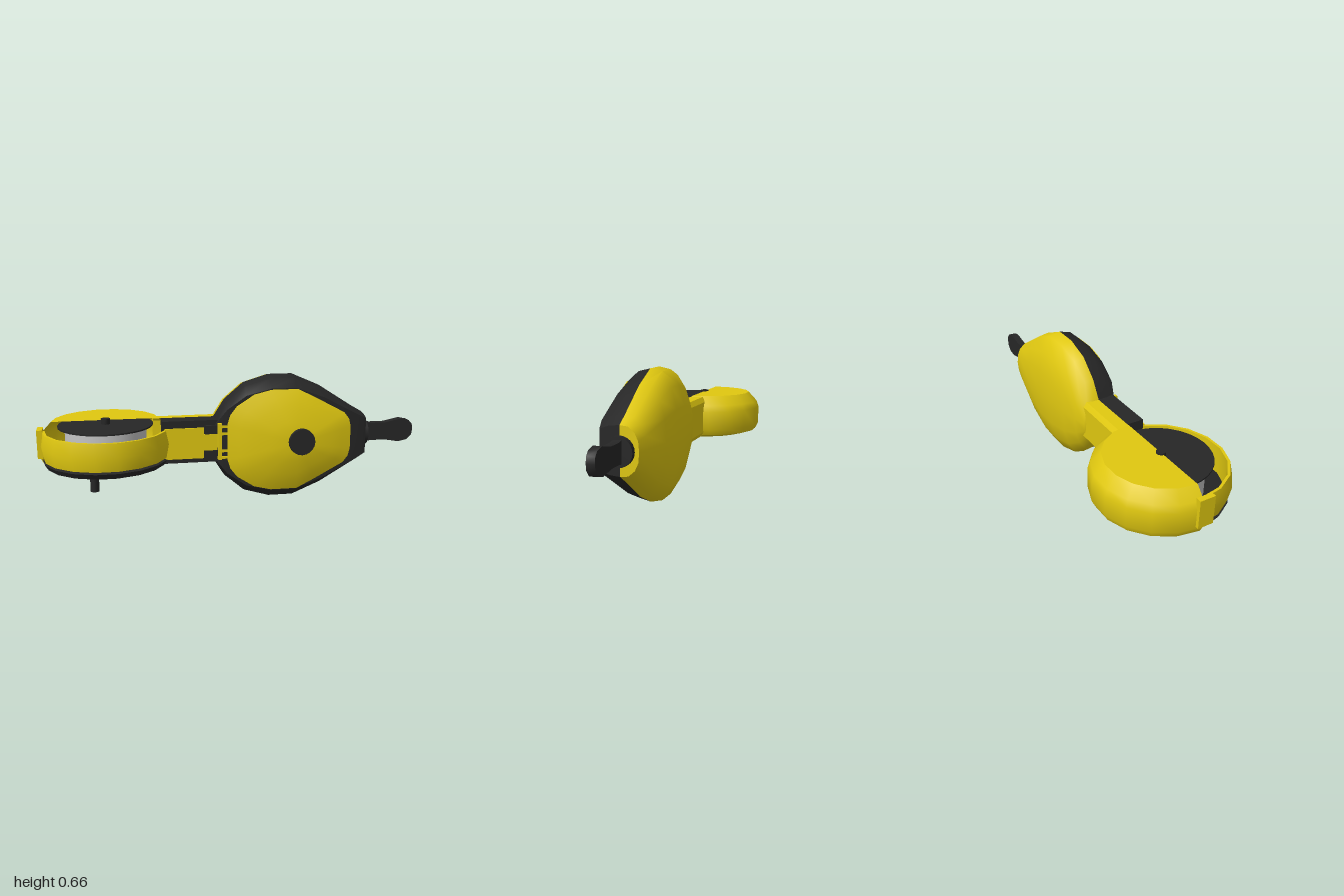
import * as THREE from 'three';
import { toCreasedNormals } from 'three/addons/utils/BufferGeometryUtils.js';

const mat = (name, color) => new THREE.MeshStandardMaterial({ name, color, side: THREE.DoubleSide });
const yellow = mat('yellow plastic', 0xe0c810);
const black = mat('black plastic', 0x262626);
const silver = mat('silver metal', 0xc4c4c4);

const MID = 0.33;      // height of the long axis
const HEAD_X = -0.66;  // centre of the round head

// Skin a list of equal-length rings of [x, y, z] points
function loft(rings, closed, crease) {
  const n = rings[0].length, index = [];
  for (let i = 0; i < rings.length - 1; i++) {
    for (let j = 0; j < (closed ? n : n - 1); j++) {
      const a = i * n + j, b = i * n + (j + 1) % n;
      index.push(a, b, a + n, b, b + n, a + n);
    }
  }
  const geo = new THREE.BufferGeometry();
  geo.setAttribute('position', new THREE.Float32BufferAttribute(rings.flat(2), 3));
  geo.setIndex(index);
  return toCreasedNormals(geo, crease);
}

// Half of a long shell: stations are [x, half height, depth], profile is [height, depth] fractions
function halfShell(stations, profile, side, crease) {
  const lower = profile.slice(0, -1).reverse().map(([h, d]) => [-h, d]);
  const section = [...profile, ...lower];
  const first = stations[0], last = stations[stations.length - 1];
  const all = [[first[0], 0, 0], ...stations, [last[0], 0, 0]];
  return loft(all.map(([x, h, d]) => section.map(([fh, fd]) => [x, MID + h * fh, side * d * fd])), false, crease);
}

export function createModel() {
  const model = new THREE.Group();
  model.name = 'tapeTool';
  const add = (name, geo, material, x = 0, y = 0, z = 0) => {
    const mesh = new THREE.Mesh(geo, material);
    mesh.name = name;
    mesh.position.set(x, y, z);
    model.add(mesh);
    return mesh;
  };
  const box = (name, material, x0, x1, y0, y1, z0, z1) =>
    add(name, new THREE.BoxGeometry(x1 - x0, y1 - y0, z1 - z0), material,
      (x0 + x1) / 2, (y0 + y1) / 2, (z0 + z1) / 2);
  const disc = (name, material, r, y0, y1, x, z, sides = 24) =>
    add(name, toCreasedNormals(new THREE.CylinderGeometry(r, r, y1 - y0, sides), 0.6), material, x, (y0 + y1) / 2, z);
  const halfLathe = (name, material, points, front) => {
    const geo = new THREE.LatheGeometry(points.map(p => new THREE.Vector2(...p)), 9,
      front ? -Math.PI / 2 : Math.PI / 2, Math.PI);
    return add(name, toCreasedNormals(geo, 0.65), material, HEAD_X);
  };

  // Body halves
  const backStations = [
    [-0.12, 0.08, 0.08], [-0.11, 0.11, 0.088], [-0.05, 0.205, 0.107], [0.05, 0.29, 0.125], [0.18, 0.33, 0.138],
    [0.31, 0.33, 0.14], [0.46, 0.265, 0.133], [0.64, 0.15, 0.105], [0.7, 0.115, 0.09],
  ];
  const backProfile = [[1, 0], [0.96, 0.43], [0.73, 0.77], [0.42, 0.95], [0, 1]];
  add('bodyBack', halfShell(backStations, backProfile, -1, 0.9), yellow);
  const frontStations = backStations.map(([x, h, d]) => [x, h, Math.min(d + 0.005, 0.11)]);
  const frontProfile = [[1, 0], [0.955, 0.55], [0.82, 1], [0, 1]];
  add('bodyFront', halfShell(frontStations, frontProfile, 1, 0.55), black);

  // Domed front cover: a scaled outline rising to the button
  const top = [[-0.05, 0.09], [-0.035, 0.14], [0, 0.185], [0.09, 0.243], [0.18, 0.265], [0.32, 0.265],
    [0.42, 0.215], [0.57, 0.135], [0.597, 0.1], [0.607, 0.06]];
  const outline = [...top, ...top.slice().reverse().map(([x, h]) => [x, -h])];
  const coverRings = [[1, 0.095], [1, 0.118], [0.83, 0.136], [0.65, 0.151], [0.38, 0.168], [0.2, 0.175], [0, 0.175]];
  add('frontCover', loft(coverRings.map(([s, z]) =>
    outline.map(([x, h]) => [0.3 + (x - 0.3) * s, MID + h * s, z])), true, 0.6), yellow);

  const button = disc('button', black, 0.068, -0.02, 0.02, 0.325, 0, 20);
  button.rotation.x = Math.PI / 2;
  button.position.set(0.325, 0.333, 0.176);

  // Neck collar, plug and handle
  add('collarFront', halfShell([[0.655, 0.112, 0.092], [0.7, 0.113, 0.092]],
    [[1, 0], [0.92, 0.4], [0.71, 0.71], [0.4, 0.92], [0, 1]], 1, 0.6), black);
  const plug = disc('neckPlug', black, 0.07, -0.02, 0.02, 0, 0);
  plug.rotation.z = Math.PI / 2;
  plug.position.set(0.708, MID, 0);
  const handle = new THREE.Shape([
    [0.7, 0.275], [0.76, 0.282], [0.84, 0.282], [0.92, 0.268], [0.97, 0.278], [0.995, 0.305], [1, 0.335],
    [0.995, 0.365], [0.975, 0.386], [0.93, 0.396], [0.84, 0.378], [0.76, 0.378], [0.7, 0.39],
  ].map(p => new THREE.Vector2(...p)));
  add('handle', toCreasedNormals(new THREE.ExtrudeGeometry(handle, { depth: 0.04, bevelEnabled: false }), 0.6),
    black, 0, 0, -0.02);

  // Arm joining the body to the head
  add('armBack', halfShell([[-0.42, 0.115, 0.08], [-0.07, 0.115, 0.08]],
    [[1, 0], [0.98, 0.78], [0.75, 1], [0, 1]], -1, 0.5), yellow);
  box('armFront', black, -0.38, -0.09, 0.225, 0.445, 0, 0.09);
  box('armCore', black, -0.36, -0.09, 0.256, 0.404, 0.05, 0.099);
  box('armPlate', yellow, -0.37, -0.17, 0.25, 0.41, 0.099, 0.107);
  box('armTongue', yellow, -0.17, -0.1, 0.29, 0.375, 0.099, 0.107);

  // Hinge bracket with prongs
  box('hingeBar', yellow, -0.098, -0.078, 0.24, 0.43, 0.085, 0.118);
  for (const y of [0.25, 0.285, 0.375, 0.412]) box('hingeProng', yellow, -0.09, -0.045, y - 0.006, y + 0.006, 0.085, 0.116);
  for (const y of [0.265, 0.395]) box('hingeBlock', black, -0.165, -0.1, y - 0.024, y + 0.024, 0.08, 0.106);

  // Round head: closed back, front band and lower tray
  halfLathe('headBack', yellow, [[0.24, 0.205], [0.312, 0.225], [0.33, 0.26], [0.33, 0.36],
    [0.318, 0.395], [0.27, 0.447], [0, 0.447]], false);
  halfLathe('headBand', yellow, [[0.303, 0.262], [0.316, 0.262], [0.33, 0.333], [0.316, 0.402],
    [0.303, 0.402], [0.303, 0.262]], true);
  halfLathe('headTray', black, [[0.24, 0.215], [0.24, 0.205], [0.303, 0.225], [0.32, 0.252],
    [0.3, 0.258], [0, 0.258]], true);
  box('endTab', yellow, -1, -0.972, 0.27, 0.415, -0.035, 0.045);

  // Reel inside the head
  disc('basePlate', yellow, 0.245, 0.216, 0.224, HEAD_X, 0);
  disc('baseDisc', black, 0.165, 0.198, 0.22, HEAD_X, 0);
  disc('reel', silver, 0.205, 0.255, 0.421, HEAD_X, 0, 32);
  disc('reelTop', black, 0.24, 0.42, 0.427, HEAD_X, 0, 32);
  disc('reelPeg', black, 0.023, 0.42, 0.455, HEAD_X, 0, 12);
  disc('crankPin', black, 0.022, 0.112, 0.21, -0.725, 0.125, 12);

  return model;
}
